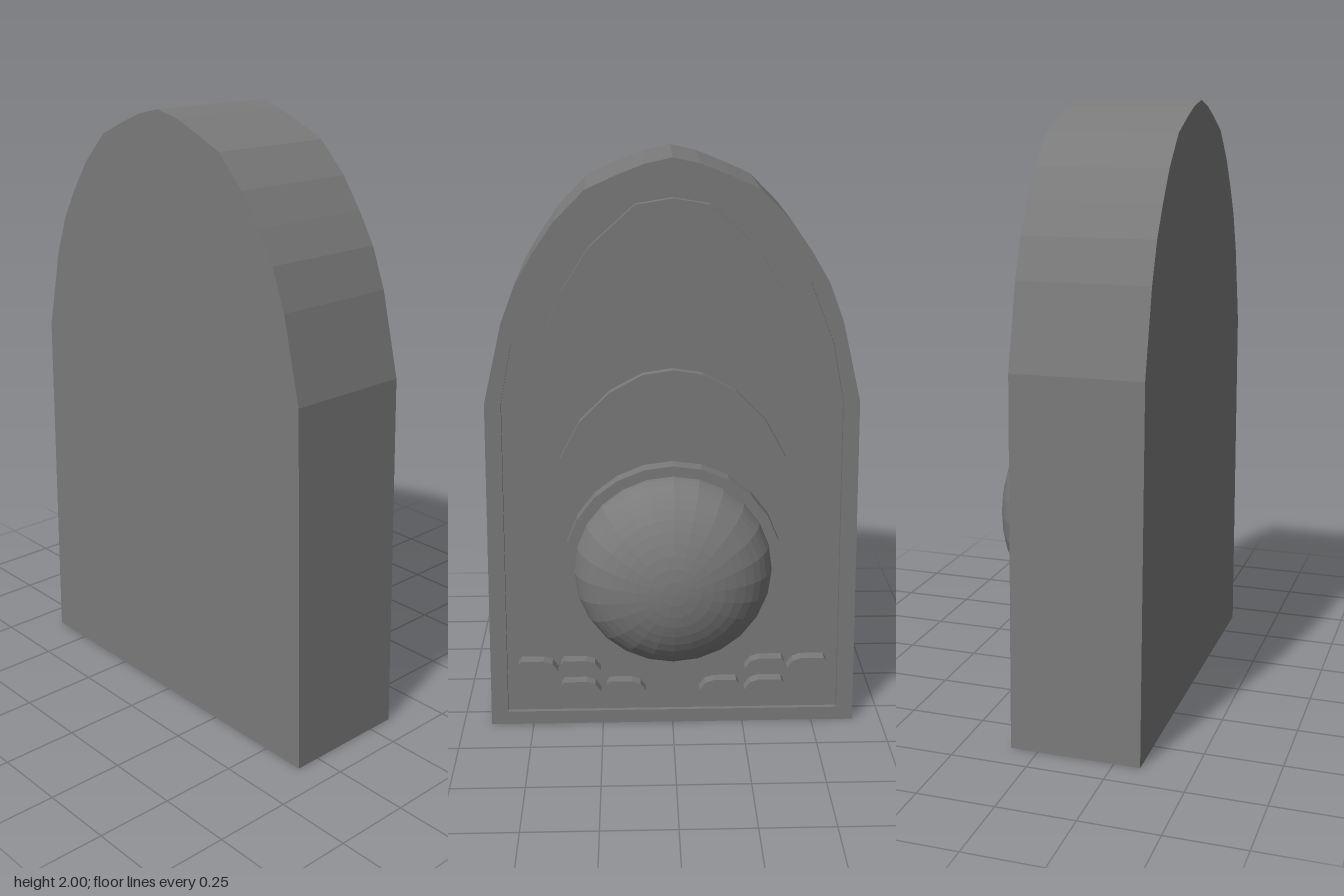
import * as THREE from 'three';

// Closed outline from the points of its +x half, mirrored to -x
function mirrored(half) {
  const other = half.filter(p => p[0] > 0).map(([x, y]) => [-x, y]).reverse();
  return [...half, ...other].map(([x, y]) => new THREE.Vector2(x, y));
}

export function createModel() {
  const group = new THREE.Group();
  const material = new THREE.MeshStandardMaterial({ color: 0x7a7a7a, flatShading: true });
  const floorZ = -0.075, rimZ = -0.09;

  function add(name, geometry) {
    const mesh = new THREE.Mesh(geometry, material);
    mesh.name = name;
    group.add(mesh);
  }
  // Flat slab of a shape between two depths
  function slab(name, shape, z0, z1) {
    const geometry = new THREE.ExtrudeGeometry(shape, { depth: z1 - z0, bevelEnabled: false });
    add(name, geometry.translate(0, 0, z0));
  }

  // Arched body with a raised rim round the recessed back panel
  const outline = mirrored([[0.65, 0], [0.625, 1.2], [0.56, 1.47], [0.51, 1.6],
    [0.45, 1.7], [0.38, 1.8], [0.28, 1.9], [0.18, 1.945], [0.09, 1.98], [0, 2]]);
  const panel = mirrored([[0.59, 0.05], [0.57, 1.2], [0.53, 1.4], [0.45, 1.6], [0.23, 1.865], [0, 1.92]]);
  slab('body', new THREE.Shape(outline), floorZ, 0.335);
  const rimShape = new THREE.Shape(outline);
  rimShape.holes.push(new THREE.Path(panel));
  slab('backRim', rimShape, rimZ, floorZ);

  // Two raised plates: the upper arch and the crescent over the dome
  const upper = [[0.46, 1.05], [0.475, 1.2], [0.43, 1.42], [0.36, 1.58], [0.27, 1.72], [0.12, 1.855], [0, 1.875]];
  const upperInner = [[0, 1.345], [0.12, 1.33], [0.24, 1.265], [0.34, 1.17], [0.43, 1.05]];
  const lower = [[0.4, 0.8], [0.42, 0.85], [0.38, 1.01], [0.31, 1.14], [0.21, 1.24], [0.1, 1.3], [0, 1.315]];
  const lowerInner = [[0, 1.045], [0.14, 1.025], [0.25, 0.975], [0.32, 0.91], [0.37, 0.81]];
  for (const [name, outer, inner] of [['upperPlate', upper, upperInner], ['crescentPlate', lower, lowerInner]]) {
    const flip = ([x, y]) => [-x, y];
    const points = [
      ...outer, ...outer.slice(0, -1).reverse().map(flip),
      ...inner.slice(1).reverse().map(flip), ...inner
    ].map(([x, y]) => new THREE.Vector2(x, y));
    slab(name, new THREE.Shape(points), -0.105, floorZ);
  }

  // Round collar and dome, pointing backwards
  const collar = new THREE.CylinderGeometry(0.375, 0.375, 0.055, 24);
  collar.rotateX(-Math.PI / 2).translate(0, 0.615, -0.1025);
  add('domeCollar', collar);
  const dome = new THREE.SphereGeometry(0.34, 24, 12, 0, Math.PI * 2, 0, Math.PI / 2);
  dome.scale(1, 0.215 / 0.34, 1).rotateX(-Math.PI / 2).translate(0, 0.615, -0.12);
  add('dome', dome);

  // Four small slanted buttons on each side
  const button = [[0.07, 0.012], [0.06, 0.026], [-0.02, 0.026], [-0.05, 0.016],
    [-0.07, -0.012], [-0.06, -0.026], [0.02, -0.026], [0.05, -0.016]];
  for (const side of [1, -1]) {
    for (const [x, y] of [[0.475, 0.235], [0.325, 0.235], [0.325, 0.152], [0.165, 0.152]]) {
      const points = button.map(([u, v]) => new THREE.Vector2(side * (x + u), y + v));
      slab(side > 0 ? 'leftButton' : 'rightButton', new THREE.Shape(points), -0.115, floorZ);
    }
  }
  return group;
}
